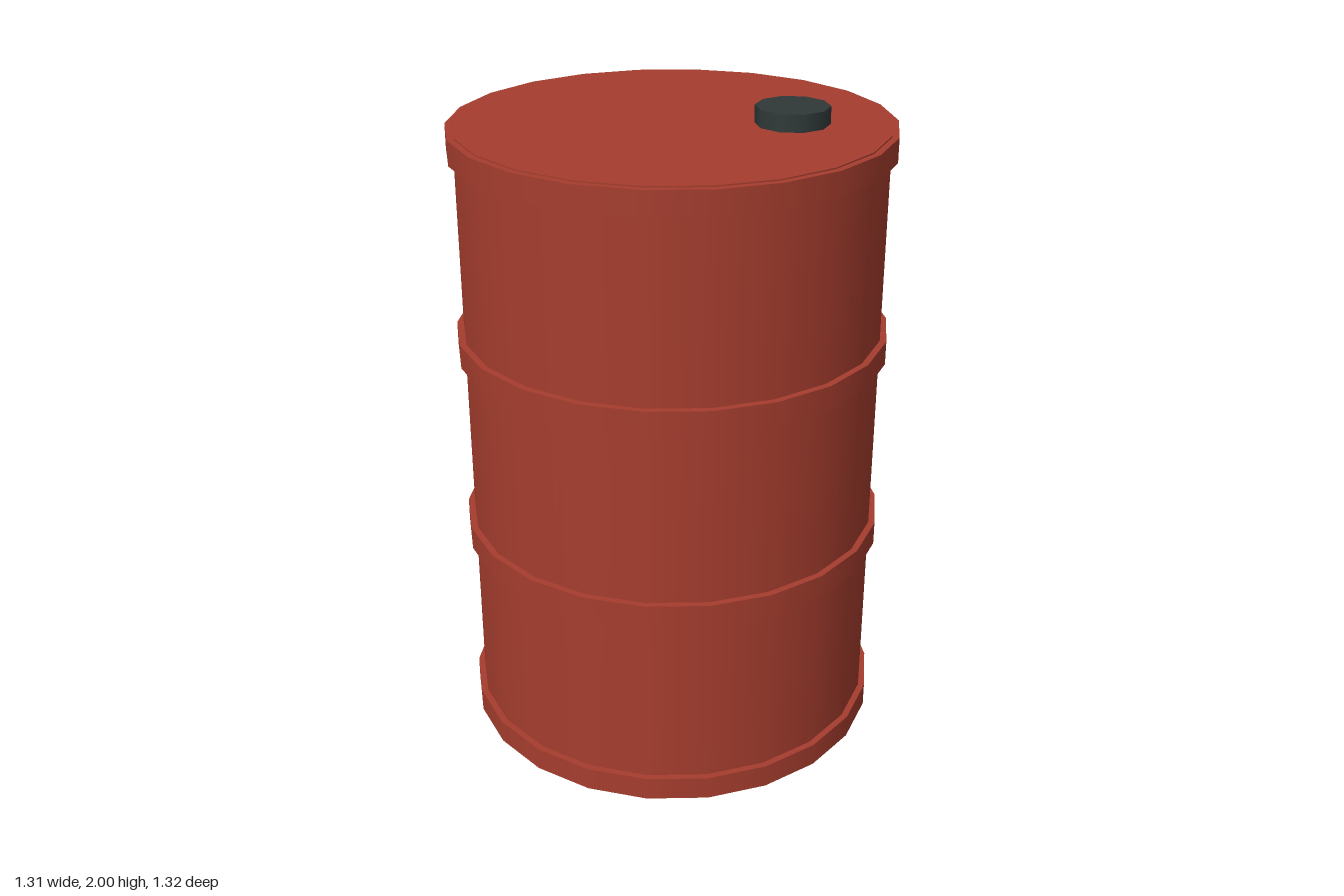
import * as THREE from 'three';

const SIDES = 22;

export function createModel() {
  const model = new THREE.Group();
  model.name = 'oilDrum';

  const red = new THREE.MeshStandardMaterial({ color: 0xa63d2e });
  red.name = 'red paint';
  const dark = new THREE.MeshStandardMaterial({ color: 0x2f3838 });
  dark.name = 'dark cap';

  // Upright closed cylinder standing on y = bottom
  function drum(name, radius, bottom, top, sides, material, x = 0, z = 0) {
    const height = top - bottom;
    const mesh = new THREE.Mesh(new THREE.CylinderGeometry(radius, radius, height, sides), material);
    mesh.name = name;
    mesh.position.set(x, bottom + height / 2, z);
    model.add(mesh);
  }

  // Main barrel
  drum('body', 0.64, 0, 1.948, SIDES, red);

  // Two rims and two rolling hoops, evenly spaced
  ['bottomRim', 'lowerHoop', 'upperHoop', 'topRim'].forEach((name, i) => {
    const bottom = 0.01 + i * 0.62;
    drum(name, 0.66, bottom, bottom + 0.074, SIDES, red);
  });

  // Off-centre filler cap
  drum('fillerCap', 0.11, 1.94, 2, 10, dark, 0.33, -0.11);

  return model;
}
